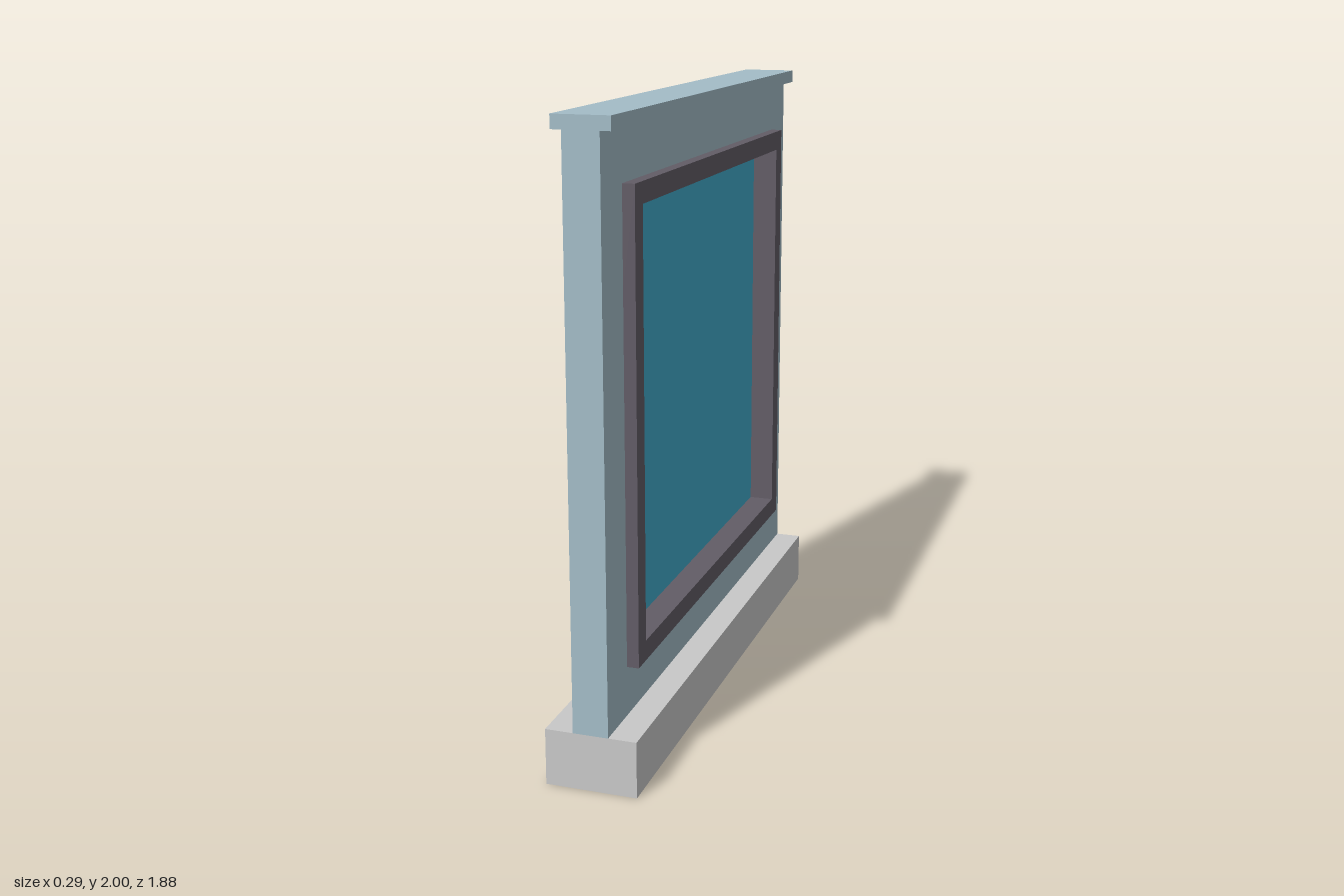
import * as THREE from 'three';

function material(name, color, side = THREE.FrontSide) {
  const m = new THREE.MeshStandardMaterial({ color, side });
  m.name = name;
  return m;
}

// Rectangular ring in the z/y plane, extruded along x and centred on x = 0
function ring(outer, inner, thickness) {
  const trace = (path, [half, y0, y1]) => {
    path.moveTo(-half, y0);
    path.lineTo(half, y0);
    path.lineTo(half, y1);
    path.lineTo(-half, y1);
    path.closePath();
    return path;
  };
  const shape = trace(new THREE.Shape(), outer);
  shape.holes.push(trace(new THREE.Path(), inner));
  const geometry = new THREE.ExtrudeGeometry(shape, { depth: thickness, bevelEnabled: false });
  return geometry.translate(0, 0, -thickness / 2).rotateY(Math.PI / 2);
}

// Box given by its width, bottom, top and length
function block(width, y0, y1, length) {
  return new THREE.BoxGeometry(width, y1 - y0, length).translate(0, (y0 + y1) / 2, 0);
}

export function createModel() {
  const group = new THREE.Group();
  group.name = 'windowWall';

  const wallPaint = material('paleBlueWall', 0xa3bcc7);
  const stone = material('greyStone', 0xc8c8c8, THREE.DoubleSide);
  const framePaint = material('darkFrame', 0x625c66);
  const glass = material('blueGlass', 0x41aacb);

  const add = (name, geometry, mat) => {
    const mesh = new THREE.Mesh(geometry, mat);
    mesh.name = name;
    group.add(mesh);
  };

  const length = 1.884;
  const opening = [0.777, 0.338, 1.797]; // half length, bottom, top
  const paneEdge = [0.712, 0.402, 1.732];

  // Hollow plinth, open underneath: drop the bottom face of the box
  const plinth = block(0.29, 0, 0.18, length);
  const index = Array.from(plinth.index.array);
  index.splice(18, 6);
  plinth.setIndex(index);
  add('plinth', plinth, stone);

  // Wall with its opening, and the coping on top
  add('wall', ring([length / 2, 0.18, 1.958], opening, 0.112), wallPaint);
  add('coping', block(0.178, 1.958, 2, length), wallPaint);

  // Window frame standing proud on both sides, with the pane set in the middle
  add('windowFrame', ring(opening, paneEdge, 0.188), framePaint);
  add('windowPane', block(0.02, paneEdge[1], paneEdge[2], paneEdge[0] * 2), glass);

  return group;
}
